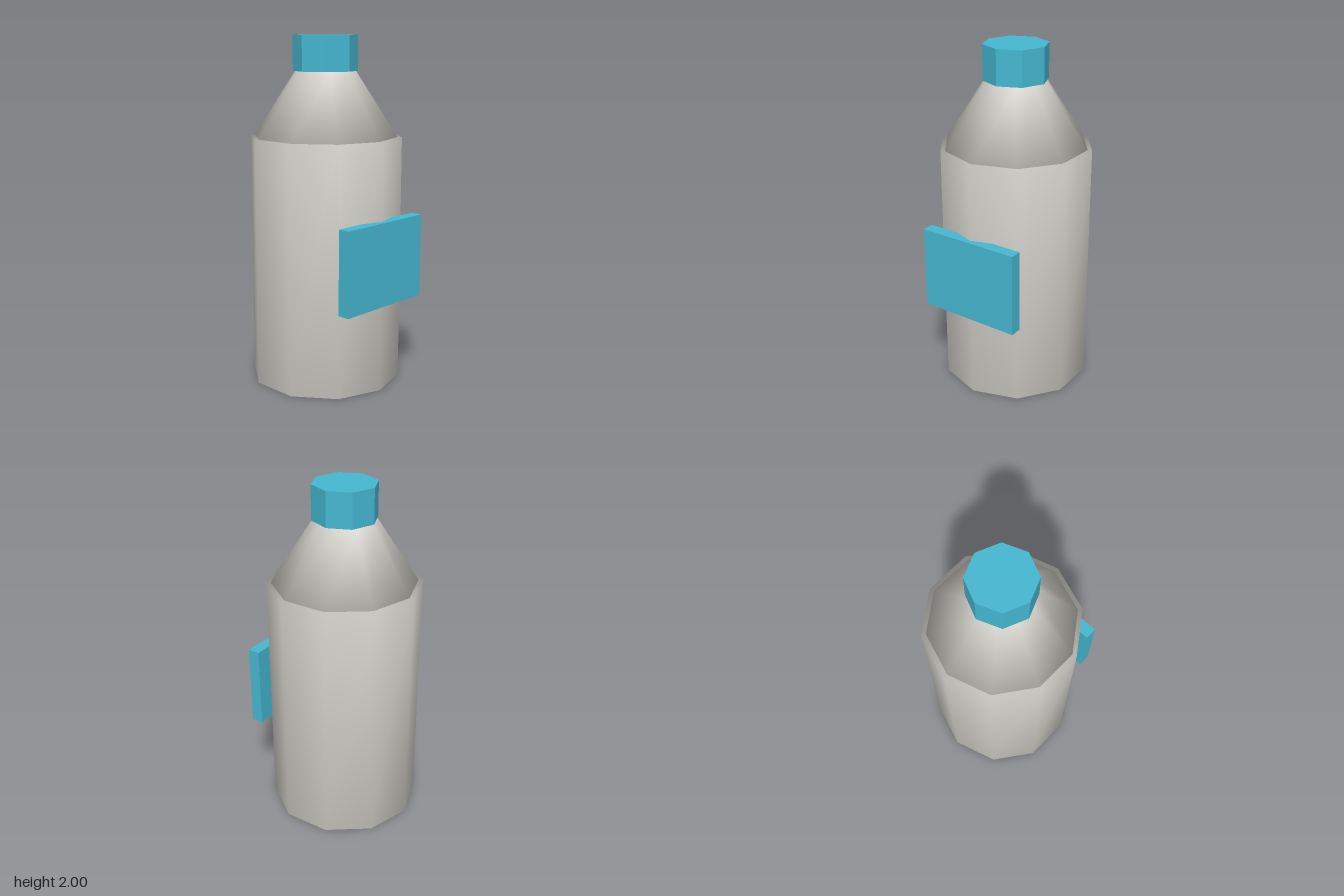
import * as THREE from 'three';
import { mergeVertices } from 'three/addons/utils/BufferGeometryUtils.js';

const AXIS_Z = -0.015;

// Closed frustum whose sides and ends share one smooth set of normals
function smoothFrustum(rTop, rBottom, height, sides) {
  const g = new THREE.CylinderGeometry(rTop, rBottom, height, sides);
  g.deleteAttribute('normal');
  g.deleteAttribute('uv');
  g.clearGroups();
  const merged = mergeVertices(g, 1e-4);
  merged.computeVertexNormals();
  return merged;
}

// Faceted prism with sharp edges
function facetedPrism(radius, height, sides) {
  const g = new THREE.CylinderGeometry(radius, radius, height, sides).toNonIndexed();
  g.computeVertexNormals();
  return g;
}

export function createModel() {
  const group = new THREE.Group();
  const shell = new THREE.MeshStandardMaterial({ color: 0xd0cec7 });
  shell.name = 'pale grey';
  const accent = new THREE.MeshStandardMaterial({ color: 0x45b7d1 });
  accent.name = 'sky blue';

  const add = (name, geometry, material, y, z) => {
    const mesh = new THREE.Mesh(geometry, material);
    mesh.name = name;
    mesh.position.set(0, y, z);
    group.add(mesh);
  };

  // Ten-sided bottle body and tapering shoulder
  add('body', smoothFrustum(0.44, 0.44, 1.43, 10), shell, 0.715, AXIS_Z);
  add('shoulder', smoothFrustum(0.175, 0.415, 0.37, 10), shell, 1.615, AXIS_Z);

  // Eight-sided cap
  add('cap', facetedPrism(0.185, 0.2, 8), accent, 1.9, AXIS_Z);

  // Flat label block on the front
  add('label', new THREE.BoxGeometry(0.61, 0.48, 0.07), accent, 0.75, 0.42);

  return group;
}
